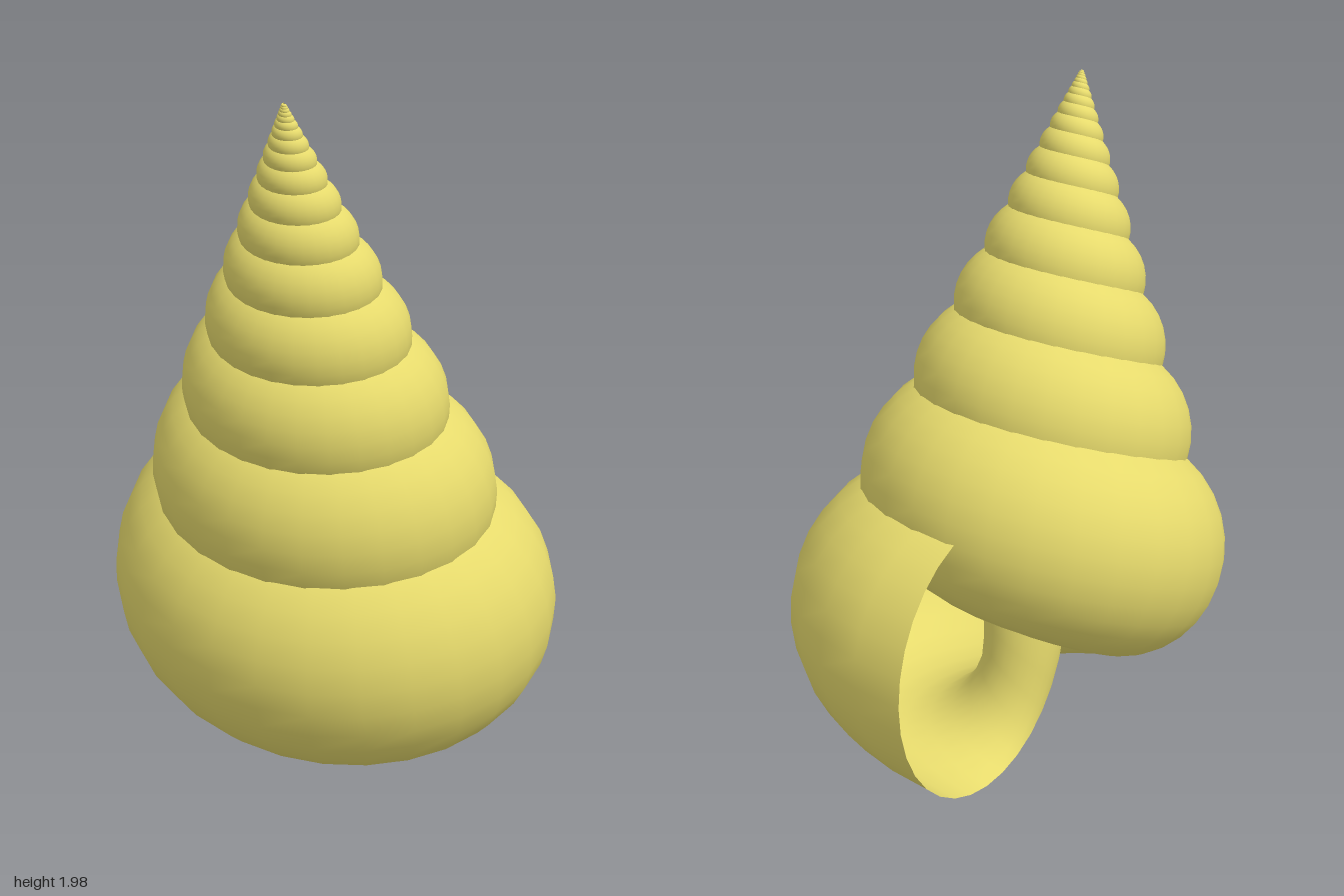
import * as THREE from 'three';

const TURNS = 17, STEPS = 28, SIDES = 32;
const GROWTH = 1.32;            // size ratio from one whorl to the next
const RADIUS = 0.33;            // distance of the tube centre from the axis
const WIDE = 0.415, TALL = 0.43; // half sizes of the tube section
const END = -0.09;              // angle of the mouth, 0 = back
const SLANT = 0.33;             // how far the section trails its radius

// Self-similar tube wound about a tilted axis that starts at the apex
function shellGeometry() {
  const apex = new THREE.Vector3(-0.13, 2.0, 0.46);
  const axis = new THREE.Vector3(0.0985, -1.66, -0.467);
  const down = axis.clone().normalize();
  const back = new THREE.Vector3(0, 0, -1);
  back.addScaledVector(down, -back.dot(down)).normalize();
  const side = new THREE.Vector3().crossVectors(back, down).normalize();
  if (side.x < 0) side.negate();
  const radial = (t) => back.clone().multiplyScalar(Math.cos(t)).addScaledVector(side, -Math.sin(t));

  const positions = [], indices = [];
  const rings = TURNS * STEPS;
  for (let i = 0; i <= rings; i++) {
    const angle = END - ((rings - i) / STEPS) * Math.PI * 2;
    const scale = Math.pow(GROWTH, angle / (Math.PI * 2));
    const centre = axis.clone().addScaledVector(radial(angle), RADIUS);
    const out = radial(angle - SLANT);
    for (let j = 0; j < SIDES; j++) {
      const a = (j / SIDES) * Math.PI * 2;
      const p = centre.clone()
        .addScaledVector(out, WIDE * Math.cos(a))
        .addScaledVector(down, TALL * Math.sin(a))
        .multiplyScalar(scale).add(apex);
      positions.push(p.x, p.y, p.z);
      if (i < rings) {
        const k = i * SIDES + j, n = i * SIDES + ((j + 1) % SIDES);
        indices.push(k, n, k + SIDES, n, n + SIDES, k + SIDES);
      }
    }
  }
  const geometry = new THREE.BufferGeometry();
  geometry.setAttribute('position', new THREE.Float32BufferAttribute(positions, 3));
  geometry.setIndex(indices);
  geometry.computeVertexNormals();
  return geometry;
}

export function createModel() {
  const group = new THREE.Group();
  group.name = 'seaShell';
  // Open at the mouth, so the inside wall shows too
  const material = new THREE.MeshStandardMaterial({ color: 0xe6da6c, side: THREE.DoubleSide });
  const shell = new THREE.Mesh(shellGeometry(), material);
  shell.name = 'spiralShell';
  group.add(shell);
  return group;
}
